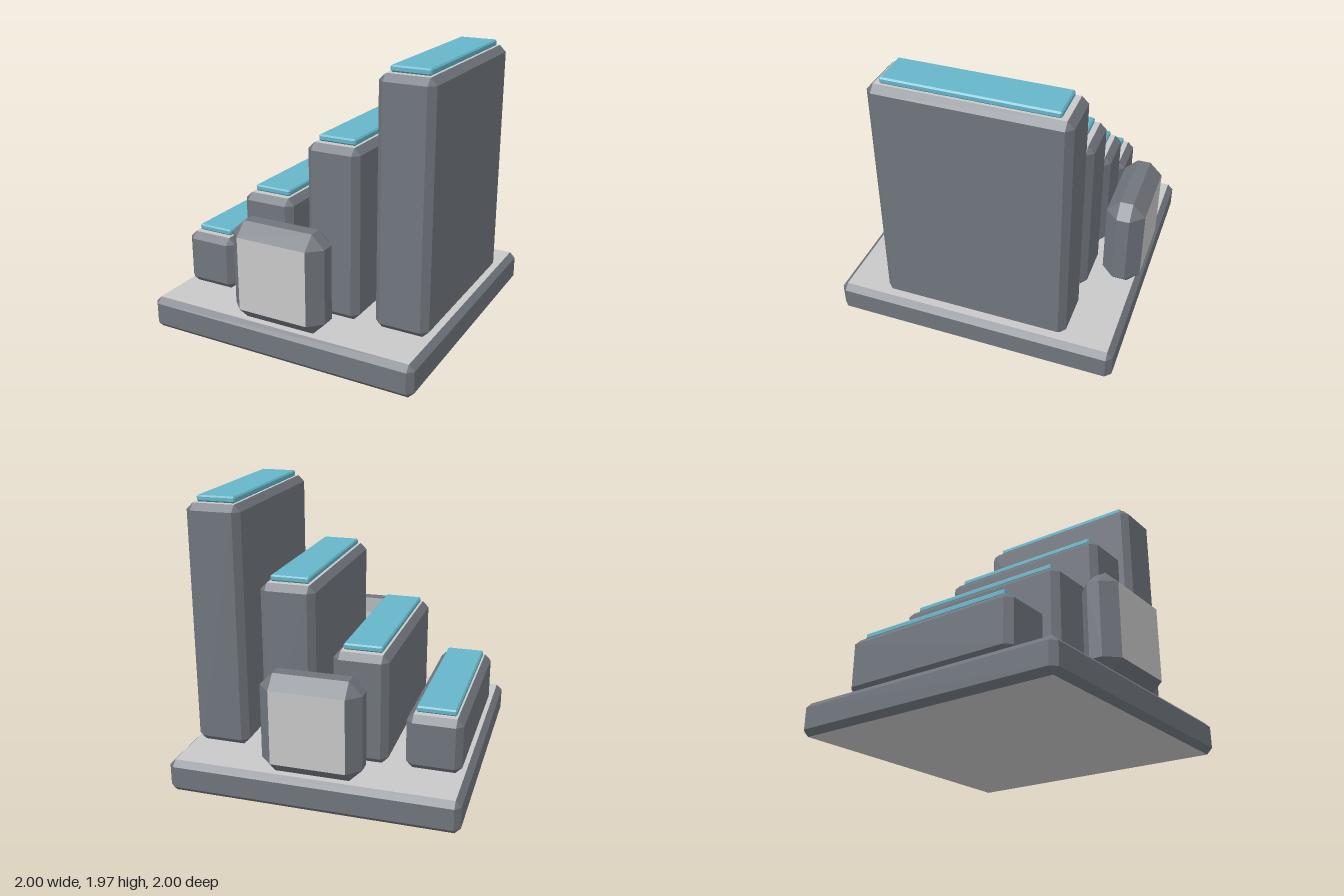
import * as THREE from 'three';

// Box with every edge cut at 45 degrees. Group 0 is the body, group 1 the two
// flat faces along capAxis (0 = x, 1 = y, 2 = z).
function chamferBox(w, h, d, c, capAxis) {
  const half = [w / 2, h / 2, d / 2];
  const body = [], caps = [];
  // Corner point that lies on the flat face of the given axis
  const point = (signs, axis) => new THREE.Vector3(
    ...signs.map((s, i) => s * (half[i] - (i === axis ? 0 : c))));
  // Add a convex polygon, turned so that it faces outward
  const addFace = (out, pts) => {
    const normal = pts[1].clone().sub(pts[0]).cross(pts[2].clone().sub(pts[0]));
    const centre = pts.reduce((sum, p) => sum.add(p), new THREE.Vector3());
    if (normal.dot(centre) < 0) pts.reverse();
    for (let i = 1; i < pts.length - 1; i++) {
      for (const p of [pts[0], pts[i], pts[i + 1]]) out.push(p.x, p.y, p.z);
    }
  };
  const signsFor = (a, sa, b, sb, sc) => {
    const s = [sc, sc, sc];
    s[a] = sa;
    s[b] = sb;
    return s;
  };
  for (let a = 0; a < 3; a++) {
    const b = (a + 1) % 3;
    for (const sa of [-1, 1]) {
      // Flat face
      addFace(a === capAxis ? caps : body, [[-1, -1], [1, -1], [1, 1], [-1, 1]]
        .map(([sb, sc]) => point(signsFor(a, sa, b, sb, sc), a)));
      // Edge bevels between axes a and b
      for (const sb of [-1, 1]) {
        const lo = signsFor(a, sa, b, sb, -1), hi = signsFor(a, sa, b, sb, 1);
        addFace(body, [point(lo, a), point(hi, a), point(hi, b), point(lo, b)]);
      }
    }
  }
  // Corner triangles
  for (const x of [-1, 1]) for (const y of [-1, 1]) for (const z of [-1, 1]) {
    addFace(body, [0, 1, 2].map((axis) => point([x, y, z], axis)));
  }
  const geo = new THREE.BufferGeometry();
  geo.setAttribute('position', new THREE.Float32BufferAttribute([...body, ...caps], 3));
  geo.addGroup(0, body.length / 3, 0);
  geo.addGroup(body.length / 3, caps.length / 3, 1);
  geo.computeVertexNormals();
  return geo;
}

export function createModel() {
  const model = new THREE.Group();
  model.name = 'steppedBlocks';

  const material = (name, color) => {
    const m = new THREE.MeshStandardMaterial({ color });
    m.name = name;
    return m;
  };
  const slate = material('slateGrey', 0x70757d);
  const pale = material('paleGrey', 0xc8c8c8);
  const teal = material('teal', 0x66b5c9);

  const add = (name, geo, mats, x, y, z) => {
    const mesh = new THREE.Mesh(geo, mats);
    mesh.name = name;
    mesh.position.set(x, y, z);
    model.add(mesh);
  };

  // Base slab
  const floor = 0.23;
  add('base', chamferBox(2, floor, 2, 0.04, 1), [slate, pale], 0, floor / 2, 0);

  // Four rising pillars, each with a thin plate on top
  [0.617, 1.002, 1.427, 1.927].forEach((top, i) => {
    const x = -0.75 + i * 0.5;
    const height = top - floor;
    add(`pillar${i + 1}`, chamferBox(0.38, height, 1.31, 0.045, 1), [slate, pale],
      x, floor + height / 2, 0);
    add(`topPlate${i + 1}`, chamferBox(0.27, 0.043, 1.15, 0.01, 1), [teal, teal],
      x, top + 0.0215, 0);
  });

  // Upright blocks at the front and back
  for (const side of [1, -1]) {
    add(side > 0 ? 'frontBlock' : 'backBlock', chamferBox(0.69, 0.695, 0.27, 0.09, 2),
      [slate, pale], 0, floor + 0.3475, side * 0.865);
  }

  return model;
}
